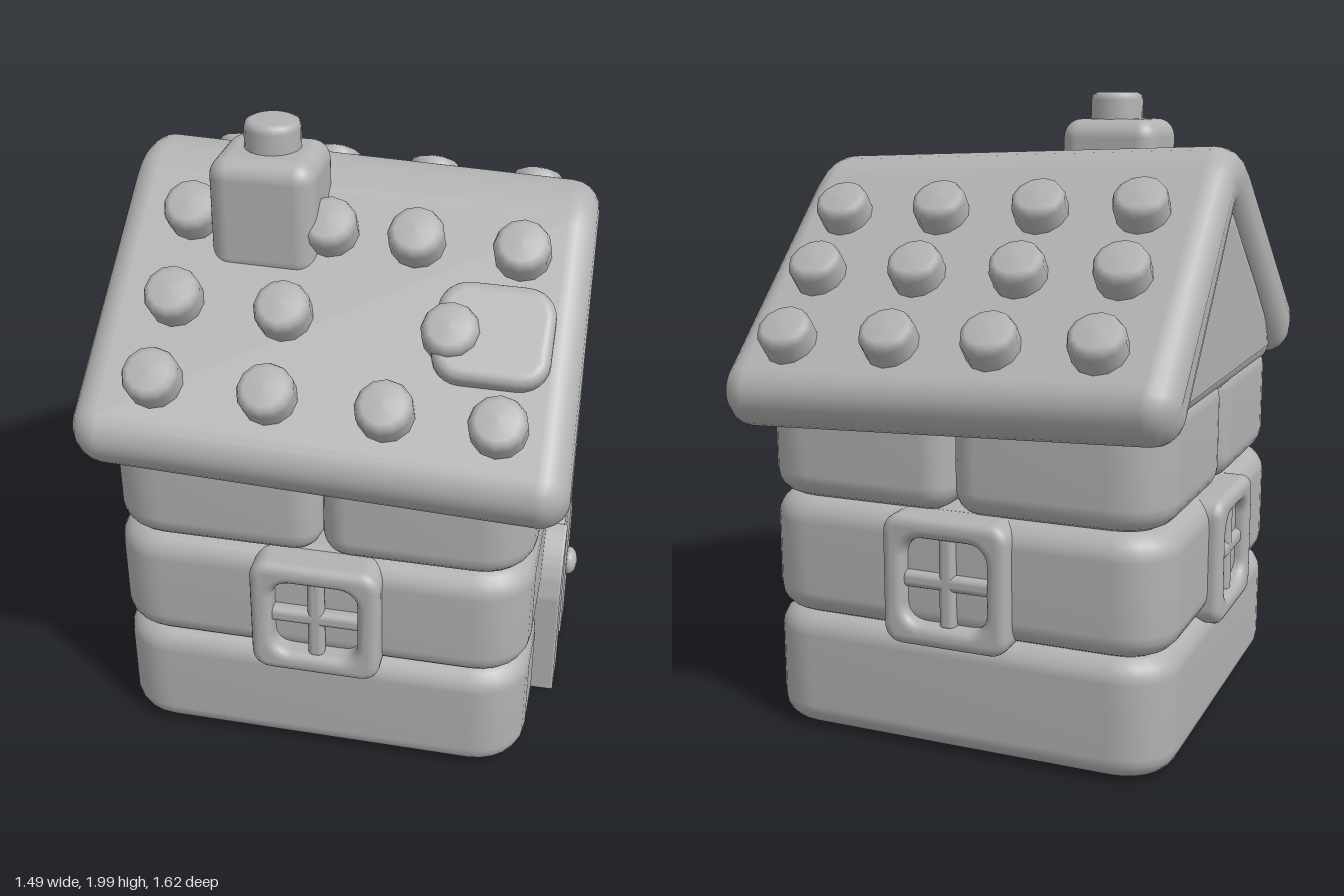
import * as THREE from 'three';
import { mergeVertices } from 'three/addons/utils/BufferGeometryUtils.js';
import { RoundedBoxGeometry } from 'three/addons/geometries/RoundedBoxGeometry.js';

const clay = new THREE.MeshStandardMaterial({ color: 0xb2b2b2 });
clay.name = 'clay grey';

function add(parent, geometry, name, x = 0, y = 0, z = 0) {
  const mesh = new THREE.Mesh(geometry, clay);
  mesh.name = name;
  mesh.position.set(x, y, z);
  parent.add(mesh);
  return mesh;
}

// Closed outline with rounded corners; a point is [a, b, cut], cut being the corner length
function trace(path, pts, r) {
  const v = pts.map(p => new THREE.Vector2(p[0], p[1]));
  v.forEach((p, i) => {
    const cut = pts[i][2] ?? r;
    const toward = q => p.clone().add(q.clone().sub(p).setLength(cut));
    const a = toward(v[(i + v.length - 1) % v.length]);
    const b = toward(v[(i + 1) % v.length]);
    const c = a.clone().lerp(p, 0.57), e = b.clone().lerp(p, 0.57);
    if (i) path.lineTo(a.x, a.y); else path.moveTo(a.x, a.y);
    path.bezierCurveTo(c.x, c.y, e.x, e.y, b.x, b.y);
  });
  path.closePath();
  return path;
}

// Soft-edged slab of height h, from 0 to h along local z
function slab(pts, r, h, bevel, hole) {
  const shape = trace(new THREE.Shape(), pts, r);
  if (hole) shape.holes.push(trace(new THREE.Path(), hole, r));
  let g = new THREE.ExtrudeGeometry(shape, {
    depth: h - 2 * bevel, bevelEnabled: true, bevelSize: bevel, bevelThickness: bevel,
    bevelOffset: -bevel, bevelSegments: 5, curveSegments: 6,
  });
  g.translate(0, 0, bevel);
  g.deleteAttribute('uv');
  g.deleteAttribute('normal');
  g = mergeVertices(g, 1e-4);
  g.computeVertexNormals();
  return g;
}
const upright = g => g.rotateX(-Math.PI / 2); // height runs along y, outline is (x, -z)
const sideways = g => g.rotateY(Math.PI / 2); // height runs along x, outline is (-z, y)
const rect = (x0, y0, x1, y1) => [[x0, y0], [x1, y0], [x1, y1], [x0, y1]];

// Square window with a raised frame and cross bars, facing +z
function makeWindow(parent, name, x, y, z, turn) {
  const w = new THREE.Group();
  w.name = name;
  w.position.set(x, y, z);
  w.rotation.y = turn;
  parent.add(w);
  const o = 0.205, i = 0.135;
  add(w, slab(rect(-o, -o, o, o), 0.06, 0.13, 0.03, rect(-i, -i, i, i).reverse()), 'windowFrame', 0, 0, -0.13);
  add(w, new RoundedBoxGeometry(0.052, 0.3, 0.05, 3, 0.02), 'windowBarUpright', 0, 0, -0.045);
  add(w, new RoundedBoxGeometry(0.3, 0.052, 0.05, 3, 0.02), 'windowBarLevel', 0, 0, -0.045);
}

export function createModel() {
  const house = new THREE.Group();
  house.name = 'house';
  const L = -0.69, R = 0.64, Z = 0.66, T = 0.31, soft = 0.08, round = 0.17;

  // Bottom course, open at the doorway and hollow inside
  const d = 0.21;
  add(house, upright(slab([
    [L, -Z], [R, -Z], [R, -d, 0.09], [R - T, -d, 0.09], [R - T, -Z + T, 0.04], [L + T, -Z + T, 0.06],
    [L + T, Z - T, 0.06], [R - T, Z - T, 0.04], [R - T, d, 0.09], [R, d, 0.09], [R, Z], [L, Z],
  ], round, 0.385, 0.075)), 'bottomCourse', 0, 0.01, 0);

  // Middle course, a full ring
  add(house, upright(slab(rect(L, -Z, R, Z), round, 0.385, soft,
    rect(L + T, -Z + T, R - T, Z - T).reverse().map(p => [...p, 0.06]))), 'middleCourse', 0, 0.385, 0);

  // Top course: a U on the door side, two corner blocks opposite, and a gable above each end
  add(house, upright(slab([
    [-0.01, -Z, 0.09], [R, -Z], [R, Z], [-0.01, Z, 0.09], [-0.01, Z - T, 0.09],
    [R - T, Z - T, 0.06], [R - T, -Z + T, 0.06], [-0.01, -Z + T, 0.09],
  ], round, 0.475, soft)), 'doorSideWall', 0, 0.765, 0);
  add(house, sideways(slab([[-0.5, 0.87], [0.5, 0.87], [0.5, 1.26], [0, 1.7], [-0.5, 1.26]],
    0.03, 0.24, 0.02)), 'doorSideGable', R - 0.24, 0, 0);
  const corner = [[L + 0.01, -Z, round], [-0.01, -Z], [-0.01, -Z + T], [L + T, -Z + T, 0.04], [L + T, -0.005], [L + 0.01, -0.005]];
  for (const pts of [corner, corner.map(([x, z, c]) => [x, -z, c]).reverse()]) {
    add(house, upright(slab(pts, 0.09, 0.38, soft)), 'cornerBlock', 0, 0.765, 0);
  }
  add(house, sideways(slab([[-0.655, 1.06], [0.655, 1.06], [0.6, 1.25], [0, 1.72], [-0.6, 1.25]],
    0.095, 0.25, 0.085)), 'farGable', L + 0.005, 0, 0);

  // Windows
  makeWindow(house, 'frontWindow', -0.015, 0.565, 0.72, 0);
  makeWindow(house, 'backWindow', -0.015, 0.565, -0.705, Math.PI);
  makeWindow(house, 'farSideWindow', -0.73, 0.56, 0, -Math.PI / 2);
  makeWindow(house, 'gableWindow', 0.69, 1.15, -0.01, Math.PI / 2);

  // Arched door of three planks, with a knob
  const door = new THREE.Group();
  door.name = 'door';
  house.add(door);
  const arch = a => 0.37 + 0.255 * Math.sqrt(Math.max(0, 1 - (a / 0.24) ** 2));
  [[-0.238, -0.082, 0.71], [-0.086, 0.078, 0.7], [0.074, 0.235, 0.71]].forEach(([a, b, front]) => {
    const pts = [[a, 0.01], [b, 0.01]];
    for (let i = 0; i <= 8; i++) {
      const t = b + (a - b) * i / 8;
      pts.push([t, arch(t)]);
    }
    add(door, sideways(slab(pts, 0.009, 0.16, 0.008)), 'doorPlank', front - 0.16, 0, 0);
  });
  const knob = add(door, new THREE.SphereGeometry(0.05, 16, 12), 'doorKnob', 0.715, 0.29, -0.145);
  knob.scale.x = 0.6;

  // Roof, dropping toward the door side and the back, with ends that flare and skew toward the eaves
  const roof = new THREE.Group();
  roof.name = 'roof';
  house.add(roof);
  const tilt = 0.04;
  const sag = (x, z) => -tilt * x - 0.045 * Math.max(0, -z);
  const roofGeo = sideways(slab([
    [-0.71, 1.02], [0, 1.62, 0.05], [0.71, 1.02], [0.85, 1.19], [0, 1.885, 0.2], [-0.85, 1.19],
  ], 0.1, 1.425, 0.085)).translate(-0.705, 0, 0);
  const p = roofGeo.attributes.position;
  for (let i = 0; i < p.count; i++) {
    const x = p.getX(i), z = p.getZ(i);
    const flare = x < 0 ? 0.012 * z - 0.045 * Math.abs(z) : 0.03 * z - 0.006 * Math.abs(z);
    const tuck = 1 - Math.max(0, Math.abs(z) - 0.65) ** 2;
    p.setX(i, (x + flare) * tuck);
    p.setY(i, p.getY(i) + sag(x, z));
  }
  roofGeo.computeVertexNormals();
  add(roof, roofGeo, 'roofSlabs');

  // Round studs on both slopes: [z, x positions]
  const slope = Math.atan(0.82);
  const roofY = (x, z) => 1.88 - 0.82 * Math.abs(z) + sag(x, z);
  const studs = [
    [0.31, [-0.47, -0.05, 0.21, 0.52]], [0.53, [-0.47, -0.14, 0.35]], [0.73, [-0.48, -0.14, 0.2, 0.52]],
    [-0.35, [-0.49, -0.17, 0.16, 0.5]], [-0.545, [-0.5, -0.18, 0.15, 0.49]], [-0.75, [-0.5, -0.18, 0.14, 0.48]],
  ];
  const h = 0.09;
  const studProfile = [[0.083, -0.04], [0.085, h - 0.03], [0.077, h - 0.008], [0.06, h], [0, h + 0.004]]
    .map(q => new THREE.Vector2(...q));
  const studGeo = new THREE.LatheGeometry(studProfile, 12);
  for (const [z, xs] of studs) {
    const s = Math.sign(z), base = z - s * h * 0.64;
    for (const x of xs) add(roof, studGeo, 'roofStud', x, roofY(x, base), base).rotation.x = s * slope;
  }

  // Flat patch on the front slope
  const patch = add(roof, upright(slab(rect(-0.17, -0.155, 0.17, 0.155), 0.09, 0.08, 0.03)),
    'roofPatch', 0.47, roofY(0.47, 0.45) - 0.025, 0.45);
  patch.rotation.set(slope, 0, -tilt);

  // Chimney with a round pot
  add(house, new RoundedBoxGeometry(0.32, 0.36, 0.29, 5, 0.06), 'chimney', -0.24, 1.735, 0.22);
  const pot = [[0.085, 0], [0.085, 0.1], [0.08, 0.118], [0.065, 0.125], [0, 0.125]].map(q => new THREE.Vector2(...q));
  add(house, new THREE.LatheGeometry(pot, 20), 'chimneyPot', -0.235, 1.875, 0.205);

  return house;
}
